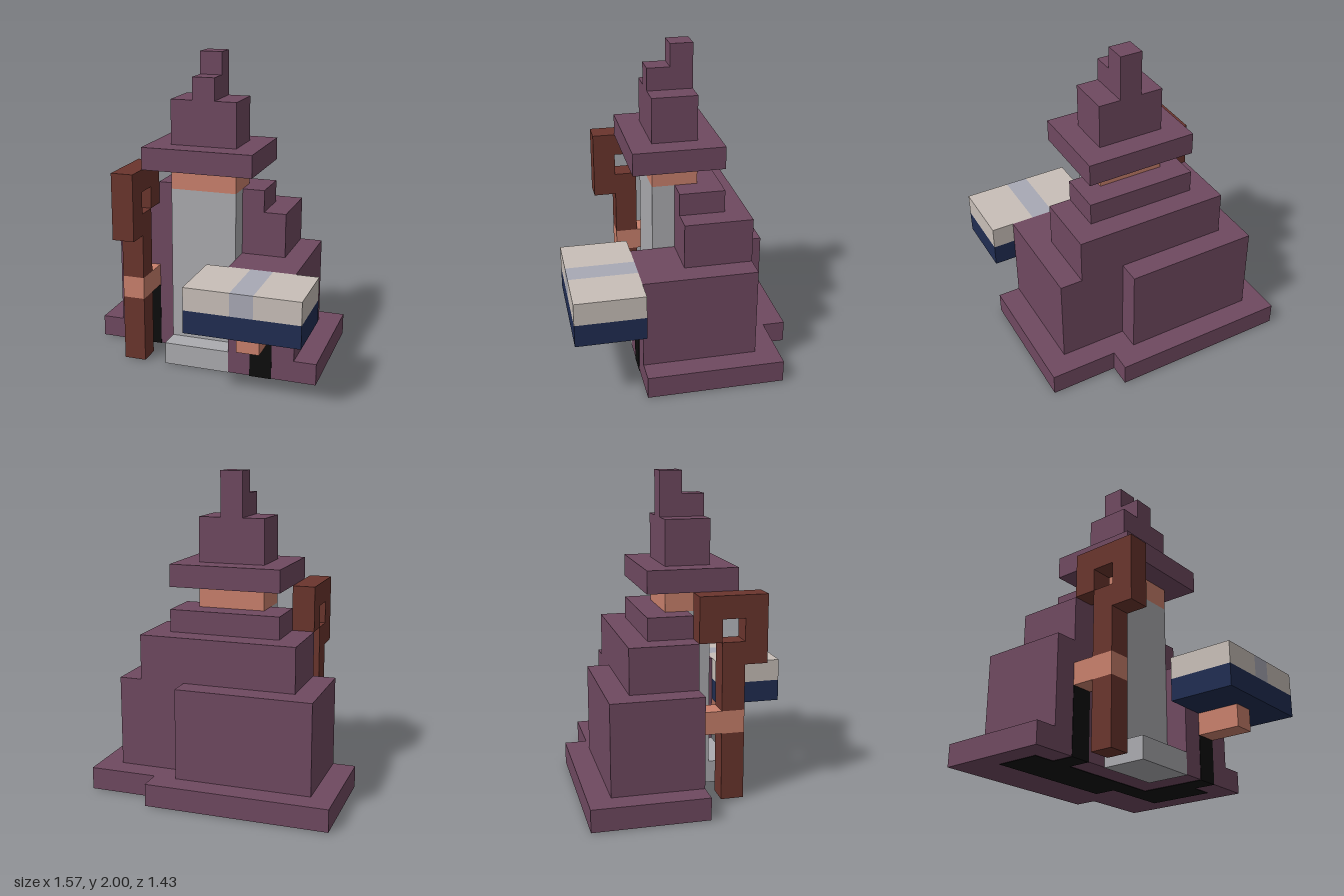
import * as THREE from 'three';

const U = 1 / 7; // edge of one block

const mat = (name, hex) => {
  const m = new THREE.MeshStandardMaterial({ color: hex });
  m.name = name;
  return m;
};

export function createModel() {
  const model = new THREE.Group();
  model.name = 'wizard';
  const cloth = mat('plum cloth', 0x6f4960);
  const wood = mat('brown wood', 0x6a352d);
  const skin = mat('skin', 0xc9806c);
  const hair = mat('grey hair', 0xababaf);
  const paper = mat('cream paper', 0xc8bfb8);
  const ribbon = mat('pale ribbon', 0xa8a9b5);
  const cover = mat('navy cover', 0x202d52);
  const dark = mat('black lining', 0x0d0d0d);

  // A named group of blocks, each given as [x0, x1, y0, y1, z0, z1] in block units
  const part = (name, material, ...blocks) => {
    const group = new THREE.Group();
    group.name = name;
    for (const [x0, x1, y0, y1, z0, z1] of blocks) {
      const geo = new THREE.BoxGeometry((x1 - x0) * U, (y1 - y0) * U, (z1 - z0) * U);
      const mesh = new THREE.Mesh(geo, material);
      mesh.name = name;
      mesh.position.set((x0 + x1) / 2 * U, (y0 + y1) / 2 * U, (z0 + z1) / 2 * U);
      group.add(mesh);
    }
    model.add(group);
  };

  const e = 0.02; // small offset that keeps the lining clear of the cloth

  // Hat with a bent tip
  part('hatBrim', cloth, [-2.5, 2.5, 9, 10, -2, 2]);
  part('hatCrown', cloth, [-1.5, 1.5, 10, 12, -1, 1]);
  part('hatTip', cloth, [-0.5, 0.5, 12, 13, -1, 1], [-0.5, 0.5, 13, 14, -1, 0]);

  // Head and long beard
  part('head', skin, [-1.5, 1.5, 8, 9, -1, 1]);
  part('beard', hair, [-1.5, 1.5, 0, 8, 0, 1], [-1.5, 1.5, 0, 1, 1, 2]);

  // Robe: stepped shoulders, then the two sleeves with a wider hem
  part('shoulders', cloth, [-2.5, 2.5, 7, 8, -2, 0], [-3.5, 3.5, 5, 7, -3, 0]);
  part('rightSleeve', cloth, [-4.5, 1.5, 1, 5, -4, 0]);
  part('leftSleeve', cloth, [1.5, 4.5, 1, 5, -3, 2]);
  part('hem', cloth, [-5.5, 2.5, e, 1, -5, 0], [1.5, 5.5, e, 1, -4, 2]);

  // Dark openings under the robe and at the front of each sleeve
  part('robeLining', dark,
    [-4.5, 1.5, 0, 0.06, -3, -1],
    [1.5, 4.5, 0, 0.06, -2, -1],
    [2.5, 4.5, 0, 0.06, -1, 1]);
  part('rightSleeveOpening', dark, [-3.5, -2.5, 0, 3, -1, e]);
  part('leftSleeveOpening', dark, [2.5, 3.5, 0, 2, 1, 2 + e]);

  // Hands
  part('rightHand', skin, [-3.5, -2.5, 3, 4, 0, 2]);
  part('leftHand', skin, [2.5, 3.5, 2, 3, 2, 4]);

  // Staff with a curled head
  part('staffShaft', wood, [-3.5, -2.5, 0, 3, 1, 2], [-3.5, -2.5, 4, 6, 1, 2]);
  part('staffHook', wood,
    [-3.5, -2.5, 6, 7, 1, 3],
    [-3.5, -2.5, 7, 8, 2, 3],
    [-3.5, -2.5, 8, 9, 0, 3],
    [-3.5, -2.5, 7, 8, 0, 1]);

  // Open book
  part('bookCover', cover, [0.5, 5.5, 3, 4, 2, 5]);
  part('bookPages', paper, [0.5, 2.5, 4, 5, 2, 5], [3.5, 5.5, 4, 5, 2, 5]);
  part('bookRibbon', ribbon, [2.5, 3.5, 4, 5, 2, 5]);

  return model;
}
